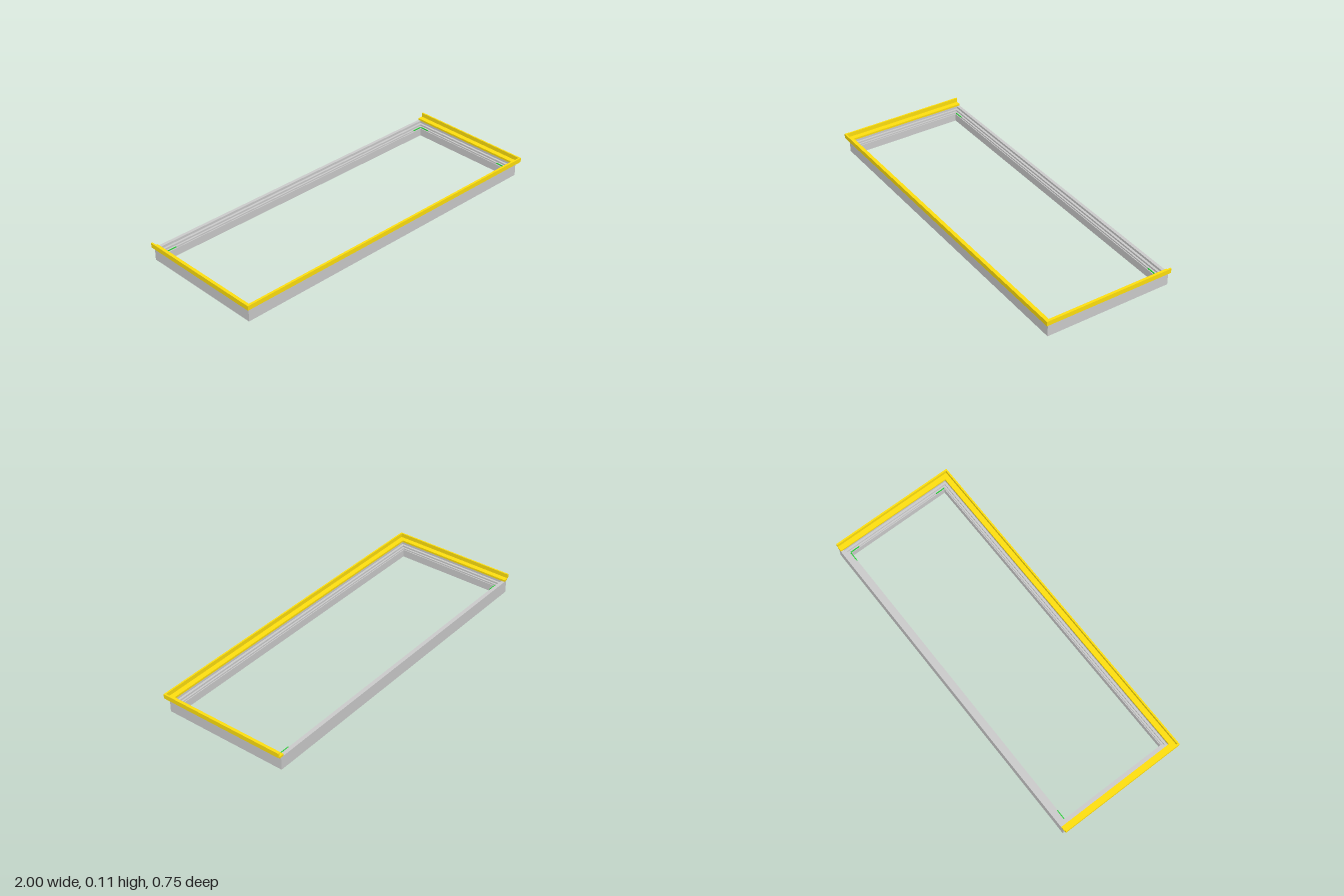
import * as THREE from 'three';

const X = 0.98, BACK = -0.373, FRONT = 0.354;

// Sweeps a profile of [depth inward, height] points along mitred corners.
// Each corner is [x, z, inwardX, inwardZ].
function sweep(profile, corners, closed) {
  const pos = [];
  const at = (c, p) => [c[0] + c[2] * p[0], p[1], c[1] + c[3] * p[0]];
  const n = profile.length, m = corners.length;
  for (let i = 0; i < (closed ? m : m - 1); i++) {
    const a = corners[i], b = corners[(i + 1) % m];
    for (let j = 0; j < n; j++) {
      const p = profile[j], q = profile[(j + 1) % n];
      const A = at(a, p), B = at(b, p), C = at(b, q), D = at(a, q);
      pos.push(...A, ...B, ...C, ...A, ...C, ...D);
    }
  }
  if (!closed) {
    const pts = profile.map((p) => new THREE.Vector2(p[0], p[1]));
    const tris = THREE.ShapeUtils.triangulateShape(pts, []);
    for (const end of [corners[0], corners[m - 1]]) {
      for (const t of tris) for (const k of t) pos.push(...at(end, profile[k]));
    }
  }
  const g = new THREE.BufferGeometry();
  g.setAttribute('position', new THREE.Float32BufferAttribute(pos, 3));
  g.computeVertexNormals();
  return g;
}

export function createModel() {
  const model = new THREE.Group();
  const grey = new THREE.MeshStandardMaterial({ color: 0xcccccc, side: THREE.DoubleSide });
  const yellow = new THREE.MeshStandardMaterial({ color: 0xffe00f, side: THREE.DoubleSide });
  const green = new THREE.MeshStandardMaterial({ color: 0x20d030 });
  const add = (name, geometry, material) => {
    const mesh = new THREE.Mesh(geometry, material);
    mesh.name = name;
    model.add(mesh);
    return mesh;
  };

  // Corners run from the back right, along the right side, front and left side
  const ring = [
    [-X, BACK, 1, 1], [-X, FRONT, 1, -1], [X, FRONT, -1, -1], [X, BACK, -1, 1],
  ];

  // Rectangular frame with ledges stepping down to the opening
  add('frame', sweep([
    [0, 0], [0, 0.075], [0.018, 0.075], [0.018, 0.062], [0.031, 0.062],
    [0.031, 0.052], [0.041, 0.052], [0.041, 0.044], [0.046, 0.044], [0.046, 0],
  ], ring, true), grey);

  // Angled trim on the front and both sides, open at the back
  const trimPath = ring.map(([x, z, ix, iz]) => [x, z, ix, z === BACK ? 0 : iz]);
  add('trim', sweep([
    [-0.01, 0.075], [-0.01, 0.084], [-0.02, 0.084], [-0.02, 0.11],
    [-0.011, 0.11], [-0.011, 0.086], [0.018, 0.086], [0.018, 0.075],
  ], trimPath, false), yellow);

  // Small green corner markers on the lowest ledge
  const marker = (x, z, w, d) => {
    add('cornerMarker', new THREE.BoxGeometry(w, 0.004, d), green).position.set(x, 0.051, z);
  };
  const mx = X - 0.043, mz = BACK + 0.043;
  marker(-0.905, mz, 0.055, 0.005);
  marker(0.905, mz, 0.055, 0.005);
  marker(mx, mz + 0.03, 0.005, 0.055);
  marker(mx, FRONT - 0.073, 0.005, 0.055);

  return model;
}
